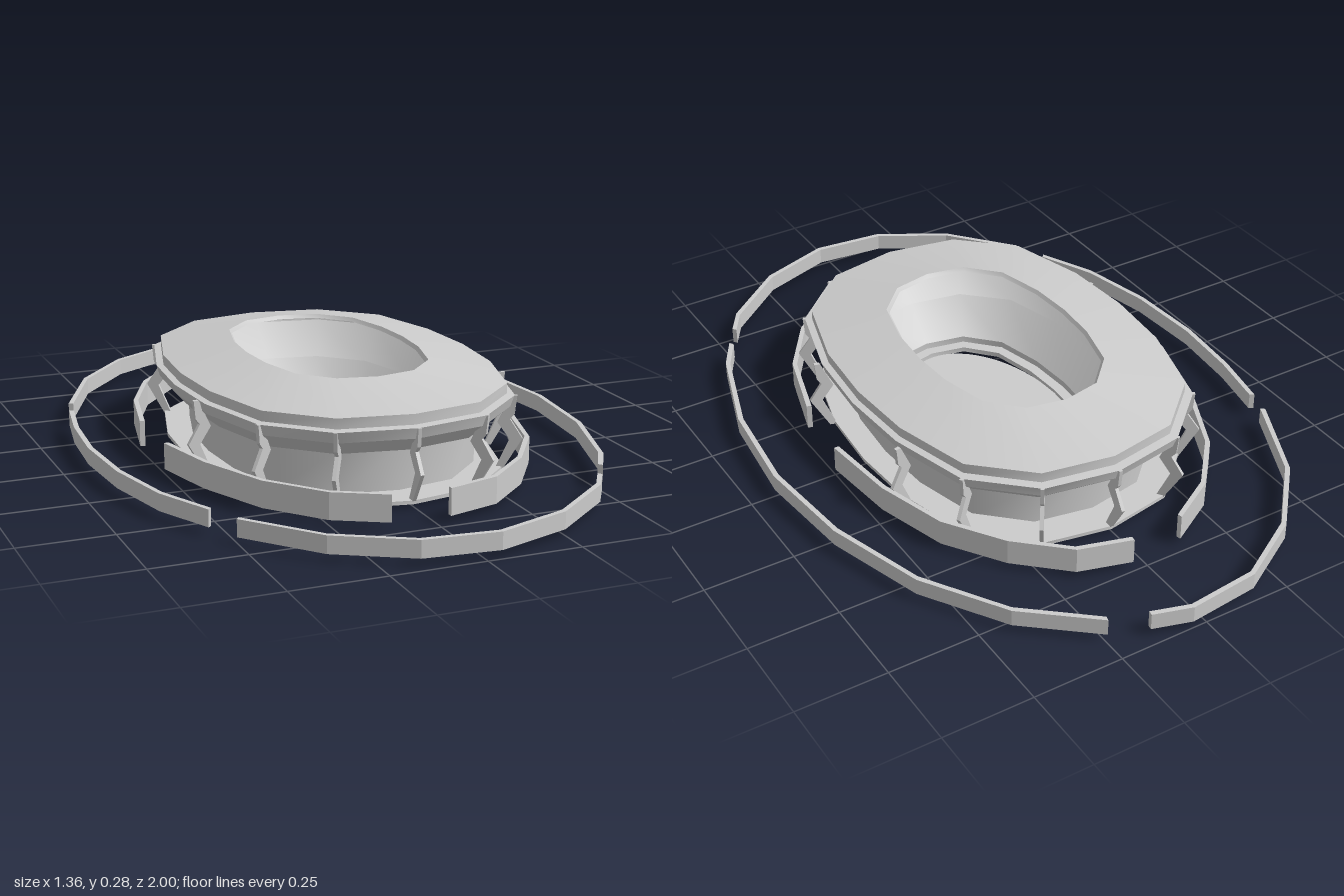
import * as THREE from 'three';
import { mergeGeometries } from 'three/addons/utils/BufferGeometryUtils.js';

const material = new THREE.MeshStandardMaterial({ color: 0xcccccc, side: THREE.DoubleSide });

// One quadrant of the sixteen-sided plan, mirrored into a closed unit outline
const quadrant = [[0, 1], [0.47, 0.94], [0.82, 0.71], [0.965, 0.34]];
const outline = [];
for (let q = 0; q < 4; q++) {
  for (let i = 0; i < 4; i++) {
    const back = q % 2 === 1;
    const [x, z] = back ? (i === 0 ? [1, 0] : quadrant[4 - i]) : quadrant[i];
    if (q === 0) outline.push([x, z]);
    if (q === 1) outline.push([x, -z]);
    if (q === 2) outline.push([-x, -z]);
    if (q === 3) outline.push([-x, z]);
  }
}

// Bands between successive rings [radiusX, radiusZ, y], creased at each ring
function loft(rings) {
  const n = outline.length;
  const bands = [];
  for (let r = 0; r + 1 < rings.length; r++) {
    const pos = [], index = [];
    for (const [rx, rz, y] of [rings[r], rings[r + 1]]) {
      for (const [x, z] of outline) pos.push(x * rx, y, z * rz);
    }
    for (let i = 0; i < n; i++) {
      const j = (i + 1) % n;
      index.push(i, i + n, j, j, i + n, j + n);
    }
    const g = new THREE.BufferGeometry();
    g.setAttribute('position', new THREE.Float32BufferAttribute(pos, 3));
    g.setIndex(index);
    g.computeVertexNormals();
    bands.push(g);
  }
  return mergeGeometries(bands);
}

// Thin upright wall following a plan polyline of [x, z] points
function wall(points, bottom, top, thickness) {
  const inner = points.map(([x, z]) => {
    const k = 1 - thickness / Math.hypot(x, z);
    return [x * k, z * k];
  }).reverse();
  const shape = new THREE.Shape([...points, ...inner].map(([x, z]) => new THREE.Vector2(x, z)));
  const g = new THREE.ExtrudeGeometry(shape, { depth: top - bottom, bevelEnabled: false });
  return g.rotateX(Math.PI / 2).translate(0, top, 0);
}

export function createModel() {
  const model = new THREE.Group();
  const add = (name, geometry, parent = model) => {
    const mesh = new THREE.Mesh(geometry, material);
    mesh.name = name;
    parent.add(mesh);
    return mesh;
  };
  const addGroup = (name) => {
    const g = new THREE.Group();
    g.name = name;
    model.add(g);
    return g;
  };

  // Sloping roof with its opening lip
  add('roof', loft([[0.42, 0.59, 0.245], [0.232, 0.365, 0.285], [0.225, 0.357, 0.275]]));

  // Flared outer shell and recessed lower drum
  add('facade', loft([
    [0.42, 0.59, 0.245], [0.42, 0.59, 0.217], [0.438, 0.615, 0.215],
    [0.43, 0.605, 0.185], [0.39, 0.555, 0.142], [0.345, 0.505, 0.135], [0.345, 0.5, 0.012],
  ]));

  // Base ring under the drum
  add('baseRing', loft([
    [0.33, 0.49, 0.018], [0.412, 0.59, 0.018], [0.412, 0.59, 0.008],
    [0.33, 0.49, 0.008], [0.33, 0.49, 0.018],
  ]));

  // Raked seating bowl and the kerb around the field
  add('seating', loft([[0.4, 0.56, 0.22], [0.32, 0.465, 0.13], [0.235, 0.375, 0.04], [0.235, 0.375, 0.012]]));
  add('fieldKerb', loft([
    [0.25, 0.395, 0.008], [0.25, 0.395, 0.022], [0.205, 0.345, 0.022],
    [0.205, 0.345, 0.008], [0.25, 0.395, 0.008],
  ]));

  // Smooth oval field
  const field = add('field', new THREE.CylinderGeometry(1, 1, 0.012, 64));
  field.scale.set(0.205, 1, 0.34);
  field.position.y = 0.006;

  // Bent support fins standing radially around the shell
  const fins = addGroup('supportFins');
  const finSpots = [[0.438, -0.24], [0.438, 0.215], [-0.438, 0.17], [0, 0.615], [0, -0.615]];
  for (const sx of [1, -1]) {
    for (const sz of [1, -1]) finSpots.push([0.36 * sx, 0.437 * sz], [0.208 * sx, 0.575 * sz]);
  }
  const finShape = new THREE.Shape([
    [-0.01, 0.215], [0.005, 0.215], [0, 0.165], [-0.012, 0.15], [0.022, 0.098], [-0.03, 0.008],
    [-0.05, 0.008], [-0.012, 0.095], [-0.045, 0.14],
  ].map(([r, y]) => new THREE.Vector2(r, y)));
  const finGeometry = new THREE.ExtrudeGeometry(finShape, { depth: 0.01, bevelEnabled: false });
  finGeometry.translate(0, 0, -0.005);
  for (const [x, z] of finSpots) {
    const fin = add('supportFin', finGeometry, fins);
    fin.position.set(x, 0, z);
    // Turn the fin along the oval's outward normal
    fin.rotation.y = -Math.atan2(z / 0.378, x / 0.192);
  }

  // Inner perimeter wall in four runs
  const innerWall = addGroup('innerWall');
  for (const run of [
    [[0.035, -0.738], [0.18, -0.695], [0.31, -0.575], [0.415, -0.42], [0.475, -0.22], [0.5, 0]],
    [[0.476, 0.21], [0.415, 0.42], [0.31, 0.575], [0.18, 0.69], [0.035, 0.73]],
    [[-0.12, 0.72], [-0.255, 0.645], [-0.375, 0.5], [-0.46, 0.3], [-0.505, 0.11]],
    [[-0.505, -0.11], [-0.46, -0.32], [-0.375, -0.505], [-0.255, -0.645], [-0.12, -0.725]],
  ]) add('innerWallRun', wall(run, 0.018, 0.09, 0.014), innerWall);

  // Outer perimeter wall in four runs
  const outerWall = addGroup('outerWall');
  for (const run of [
    [[0.245, -0.93], [0.425, -0.78], [0.565, -0.56], [0.65, -0.285], [0.68, 0],
      [0.65, 0.285], [0.563, 0.555], [0.51, 0.645]],
    [[0.47, 0.71], [0.425, 0.78], [0.245, 0.925], [0.04, 0.995], [-0.16, 0.975],
      [-0.35, 0.865], [-0.505, 0.68]],
    [[-0.545, 0.59], [-0.62, 0.43], [-0.667, 0.22], [-0.682, 0], [-0.667, -0.2], [-0.637, -0.365]],
    [[-0.62, -0.435], [-0.507, -0.685], [-0.35, -0.865], [-0.16, -0.978], [0.04, -1], [0.145, -0.968]],
  ]) add('outerWallRun', wall(run, 0.02, 0.066, 0.014), outerWall);

  return model;
}
